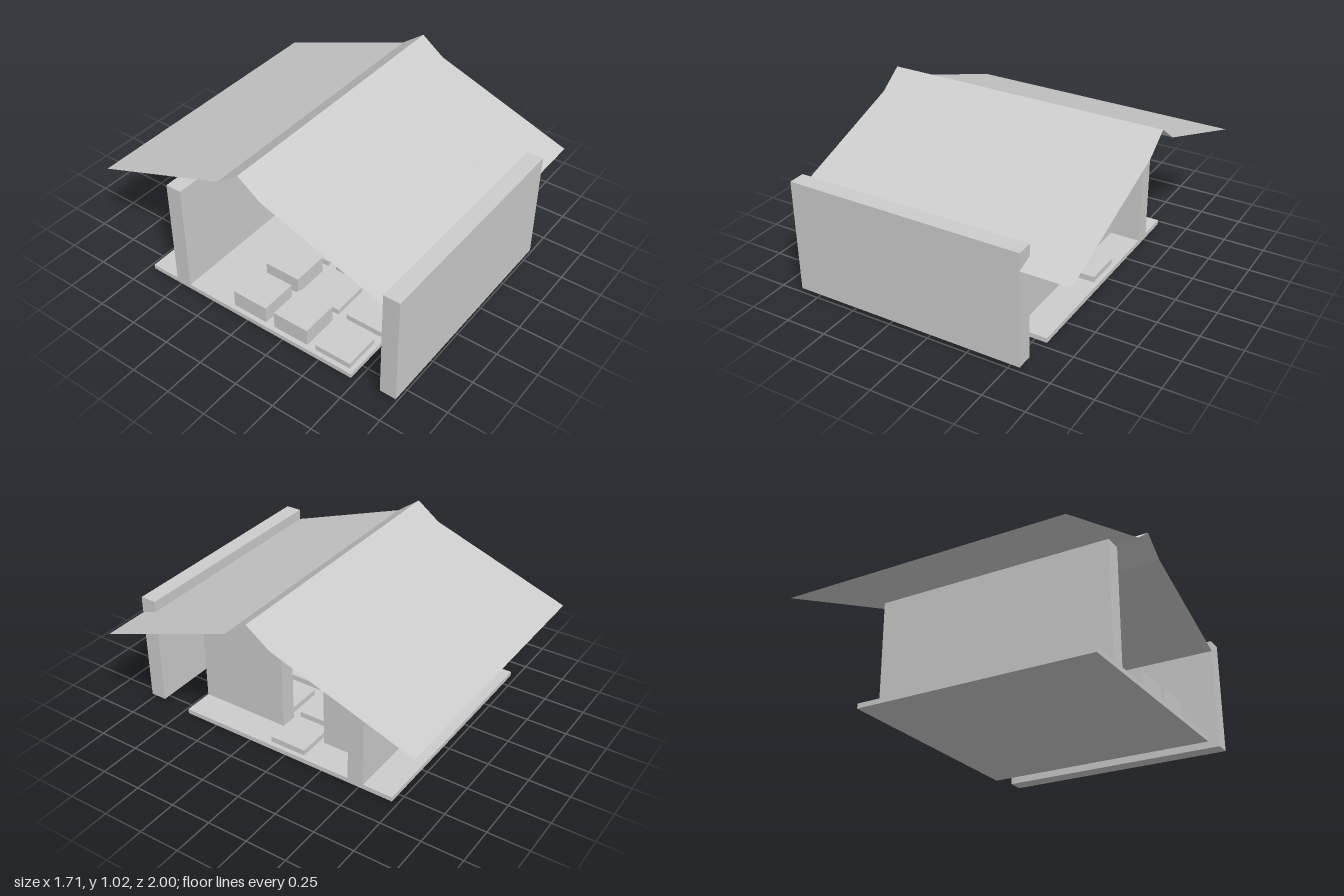
import * as THREE from 'three';

export function createModel() {
  const group = new THREE.Group();
  const gray = new THREE.MeshStandardMaterial({ color: 0xcccccc });
  gray.name = 'light gray';
  const roofGray = new THREE.MeshStandardMaterial({ color: 0xcccccc, side: THREE.DoubleSide, flatShading: true });
  roofGray.name = 'roof light gray';

  // Box given by its min and max along each axis
  function box(name, x0, x1, y0, y1, z0, z1) {
    const mesh = new THREE.Mesh(new THREE.BoxGeometry(x1 - x0, y1 - y0, z1 - z0), gray);
    mesh.position.set((x0 + x1) / 2, (y0 + y1) / 2, (z0 + z1) / 2);
    mesh.name = name;
    group.add(mesh);
  }

  const U = 1 / 7; // building module
  const floorTop = 0.029, wallTop = 0.715;
  const left = -6 * U, right = 4 * U;

  // Floor slab and the walls standing at its level
  box('floor', left, right, 0, floorTop, -5 * U, 5 * U);
  box('frontWall', left, right, floorTop, wallTop, 0.9, 1);
  box('backWall', left, right, floorTop, wallTop, -3.7 * U, -3 * U);

  // Side wall in two pieces with a doorway between
  box('sideWallFront', 2 * U, 2.7 * U, floorTop, wallTop, U, 5 * U);
  box('sideWallBack', 2 * U, 2.7 * U, floorTop, wallTop, -3 * U, -U);

  // Blocks on a regular grid: [column, row, top height]
  const low = 0.064, tall = 0.135;
  const blocks = [[3, 0, low], [-5, 0, tall], [-3, 0, tall], [-5, 2, tall]];
  for (const x of [-3, -1, 1]) blocks.push([x, 2, low]);
  for (const x of [-5, -3, -1, 1]) blocks.push([x, 4, low]);
  for (const x of [-1, 1]) blocks.push([x, 0, low]);
  for (const [x, z, top] of blocks) {
    box('floorBlock', (x - 0.8) * U, (x + 0.8) * U, floorTop, top, (z - 0.8) * U, (z + 0.8) * U);
  }

  // Thin folded roof: each strip runs the full width between two profile points
  const profile = [[1, 0.612], [U, 0.92], [0, 1.025], [-U, 0.92], [-1, 0.612]];
  const half = 6 * U;
  const pos = [];
  for (let i = 0; i < profile.length - 1; i++) {
    const [za, ya] = profile[i], [zb, yb] = profile[i + 1];
    pos.push(-half, ya, za, half, ya, za, half, yb, zb);
    pos.push(-half, ya, za, half, yb, zb, -half, yb, zb);
  }
  const roofGeometry = new THREE.BufferGeometry();
  roofGeometry.setAttribute('position', new THREE.Float32BufferAttribute(pos, 3));
  roofGeometry.computeVertexNormals();
  const roof = new THREE.Mesh(roofGeometry, roofGray);
  roof.name = 'roof';
  group.add(roof);

  return group;
}
